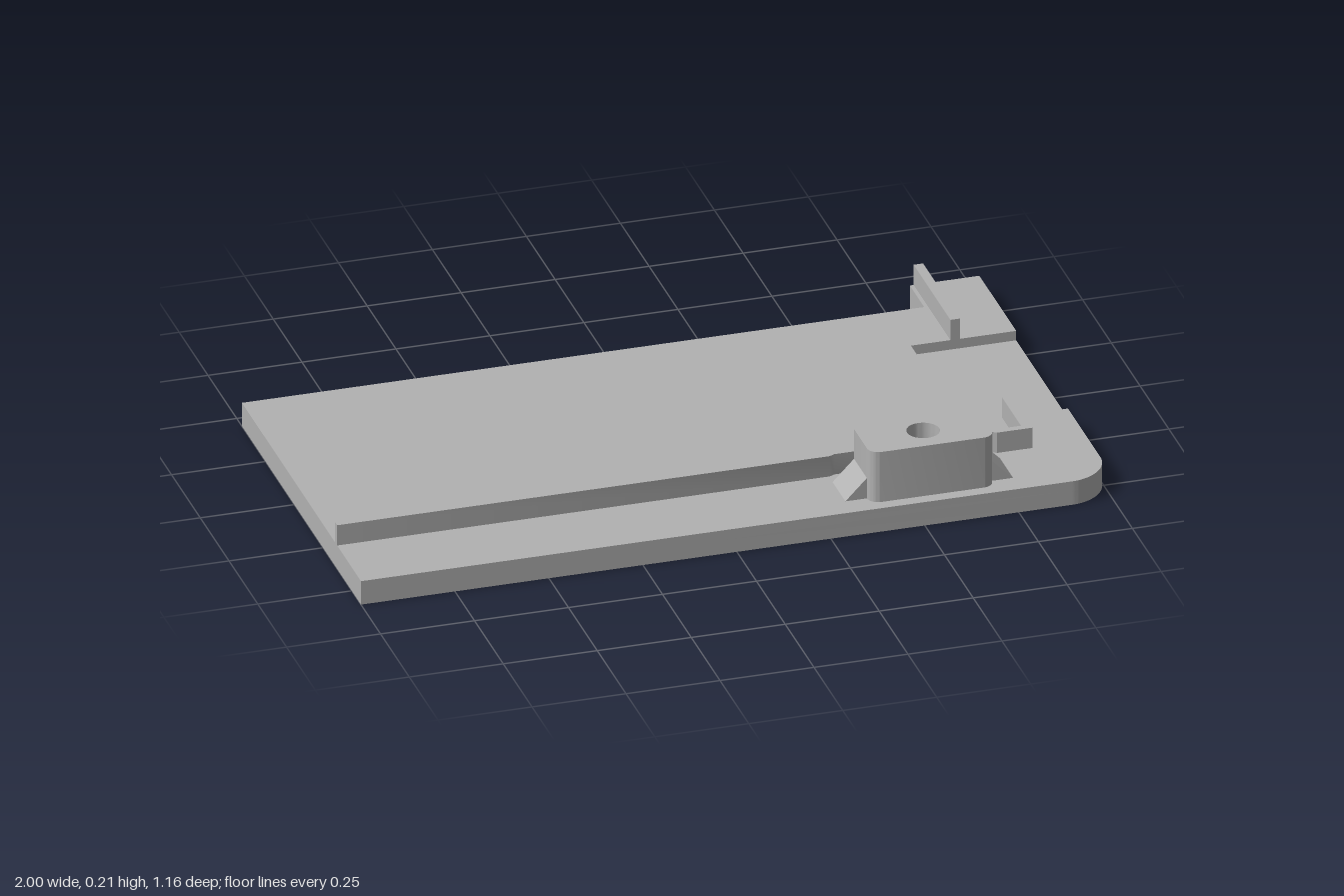
import * as THREE from 'three';
import { toCreasedNormals } from 'three/addons/utils/BufferGeometryUtils.js';

const TOP = 0.067; // upper face of the plate
const FLOOR = 0.04; // floor of the side recess
const LIP = 0.125; // top of the lip

// Extrude an [x, z] footprint shape upward from y0 to y1
function slab(shape, y0, y1) {
  const g = new THREE.ExtrudeGeometry(shape, { depth: y1 - y0, bevelEnabled: false, curveSegments: 16 });
  g.rotateX(-Math.PI / 2).translate(0, y0, 0);
  return toCreasedNormals(g, 0.5);
}

function polygon(points) {
  return new THREE.Shape(points.map(([x, z]) => new THREE.Vector2(x, -z)));
}

// Plate footprint with one rounded corner, optionally with the recess cut in its side
function plateShape(recessed) {
  const s = new THREE.Shape();
  s.moveTo(-1, -0.58);
  s.lineTo(0.89, -0.58);
  s.absarc(0.89, -0.47, 0.11, -Math.PI / 2, 0, false);
  if (recessed) {
    s.lineTo(1, -0.19);
    s.lineTo(0.72, -0.19);
    s.lineTo(0.72, 0.26);
    s.lineTo(1, 0.26);
  }
  s.lineTo(1, 0.58);
  s.lineTo(0.815, 0.58);
  s.lineTo(0.815, 0.455);
  s.lineTo(-1, 0.455);
  s.closePath();
  return s;
}

// Rounded block footprint with a round hole
function postShape(x0, x1, z0, z1, r) {
  const s = new THREE.Shape();
  s.absarc(x1 - r, -z1 + r, r, -Math.PI / 2, 0, false);
  s.absarc(x1 - r, -z0 - r, r, 0, Math.PI / 2, false);
  s.absarc(x0 + r, -z0 - r, r, Math.PI / 2, Math.PI, false);
  s.absarc(x0 + r, -z1 + r, r, Math.PI, Math.PI * 1.5, false);
  s.closePath();
  const hole = new THREE.Path();
  hole.absarc((x0 + x1) / 2, -(z0 + z1) / 2, 0.043, 0, Math.PI * 2, true);
  s.holes.push(hole);
  return s;
}

export function createModel() {
  const group = new THREE.Group();
  const grey = new THREE.MeshStandardMaterial({ color: 0xb2b2b2 });
  grey.name = 'grey';
  const add = (name, geometry) => {
    const mesh = new THREE.Mesh(geometry, grey);
    mesh.name = name;
    group.add(mesh);
  };

  // Plate in two layers, the upper one recessed
  add('plateBottom', slab(plateShape(false), 0, FLOOR));
  add('plateTop', slab(plateShape(true), FLOOR, TOP));

  // Lip along the front and around the corner, thinned behind the post
  add('frontLip', slab(polygon([
    [-1, 0.354], [0.825, 0.354], [0.825, 0.19], [0.85, 0.19], [0.85, 0.373],
    [0.755, 0.373], [0.745, 0.366], [0.325, 0.366], [0.31, 0.373], [-1, 0.373],
  ]), TOP, LIP));
  add('rearLip', slab(polygon([[0.825, -0.58], [0.85, -0.58], [0.85, -0.26], [0.825, -0.26]]), TOP, LIP));

  // Post with a hole in its top
  add('post', slab(postShape(0.365, 0.697, 0.38, 0.547, 0.03), TOP, 0.21));

  // Sloping ribs on both sides of the post
  for (const [name, inner, outer] of [['rightRib', 0.365, 0.308], ['leftRib', 0.697, 0.754]]) {
    const s = new THREE.Shape([
      new THREE.Vector2(outer, TOP), new THREE.Vector2(inner, TOP), new THREE.Vector2(inner, LIP),
    ]);
    const g = new THREE.ExtrudeGeometry(s, { depth: 0.112, bevelEnabled: false });
    add(name, g.translate(0, 0, 0.405));
  }
  return group;
}
